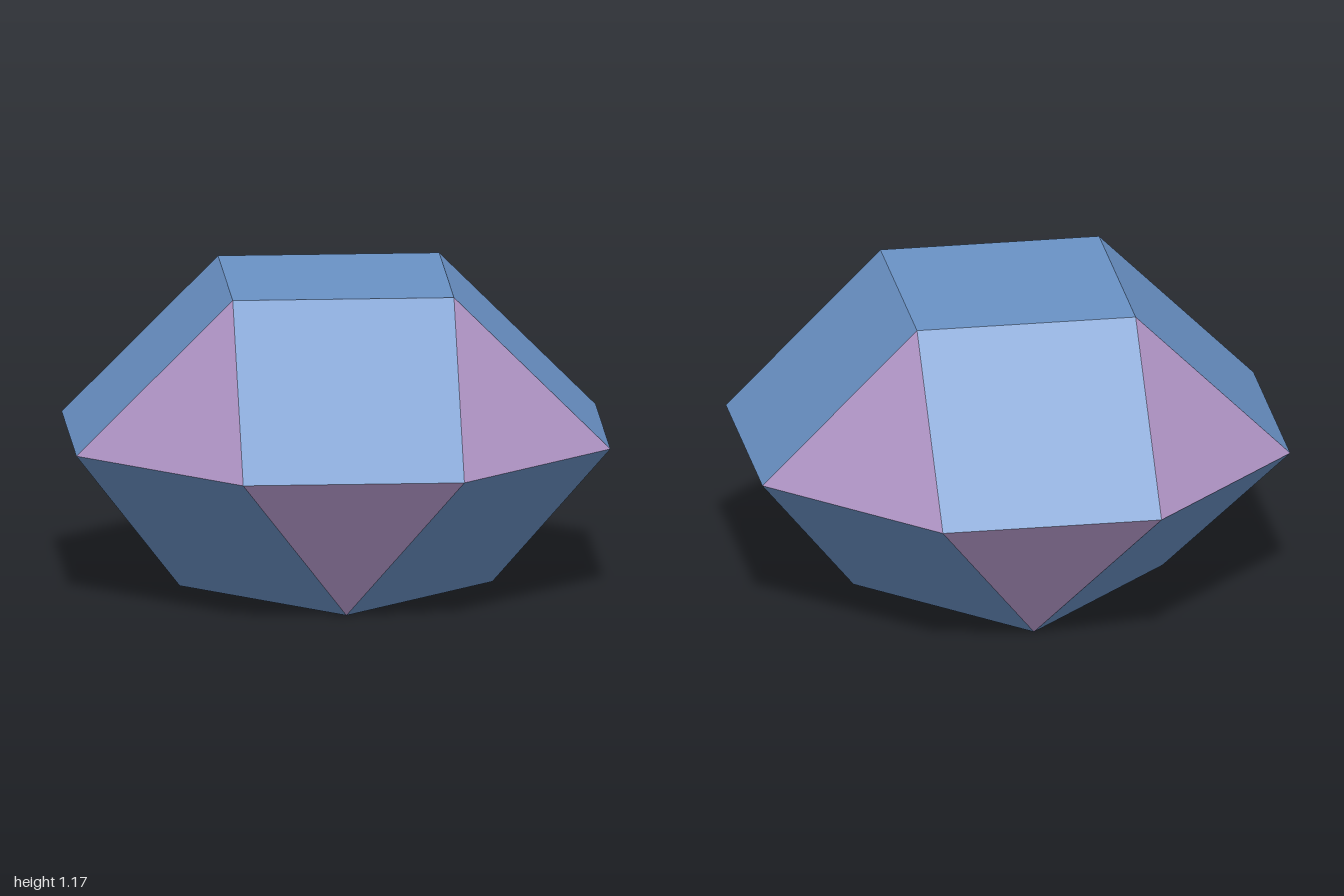
import * as THREE from 'three';

const EDGE = 2 * (Math.SQRT2 - 1);      // every edge has this length
const HALF = EDGE / Math.SQRT2;         // height of one cupola, and radius of its cap
const RIM = 1 / Math.cos(Math.PI / 8);  // radius of the octagonal waist

const blue = new THREE.MeshStandardMaterial({ color: 0x6a92c6 });
blue.name = 'blue';
const mauve = new THREE.MeshStandardMaterial({ color: 0xac91c1 });
mauve.name = 'mauve';

// Flat mesh from convex polygons; each is fanned into triangles
function facets(name, polygons, material) {
  const points = [];
  for (const p of polygons) {
    for (let i = 1; i < p.length - 1; i++) points.push(p[0], p[i], p[i + 1]);
  }
  const geometry = new THREE.BufferGeometry().setFromPoints(points);
  geometry.computeVertexNormals();
  const mesh = new THREE.Mesh(geometry, material);
  mesh.name = name;
  return mesh;
}

// Square cupola rising (dir 1) or hanging (dir -1) from the waist, turned by some degrees
function cupola(name, dir, turn) {
  const point = (radius, degrees, y) => {
    const a = THREE.MathUtils.degToRad(degrees + turn);
    return new THREE.Vector3(radius * Math.cos(a), HALF + dir * y, radius * Math.sin(a));
  };
  const rim = (a) => point(RIM, a, 0);
  const cap = (a) => point(HALF, a, HALF);
  const outward = (p) => (dir > 0 ? p : p.reverse());

  const squares = [outward([cap(270), cap(180), cap(90), cap(0)])];
  const triangles = [];
  for (let a = 0; a < 360; a += 90) {
    squares.push(outward([rim(a + 67.5), rim(a + 22.5), cap(a), cap(a + 90)]));
    triangles.push(outward([rim(a + 22.5), rim(a - 22.5), cap(a)]));
  }

  const group = new THREE.Group();
  group.name = name;
  group.add(
    facets(name + 'Squares', squares, blue),
    facets(name + 'Triangles', triangles, mauve)
  );
  return group;
}

export function createModel() {
  const model = new THREE.Group();
  model.name = 'squareGyrobicupola';
  // The lower half is twisted by an eighth of a turn against the upper
  model.add(cupola('upperCupola', 1, 0), cupola('lowerCupola', -1, 45));
  return model;
}
